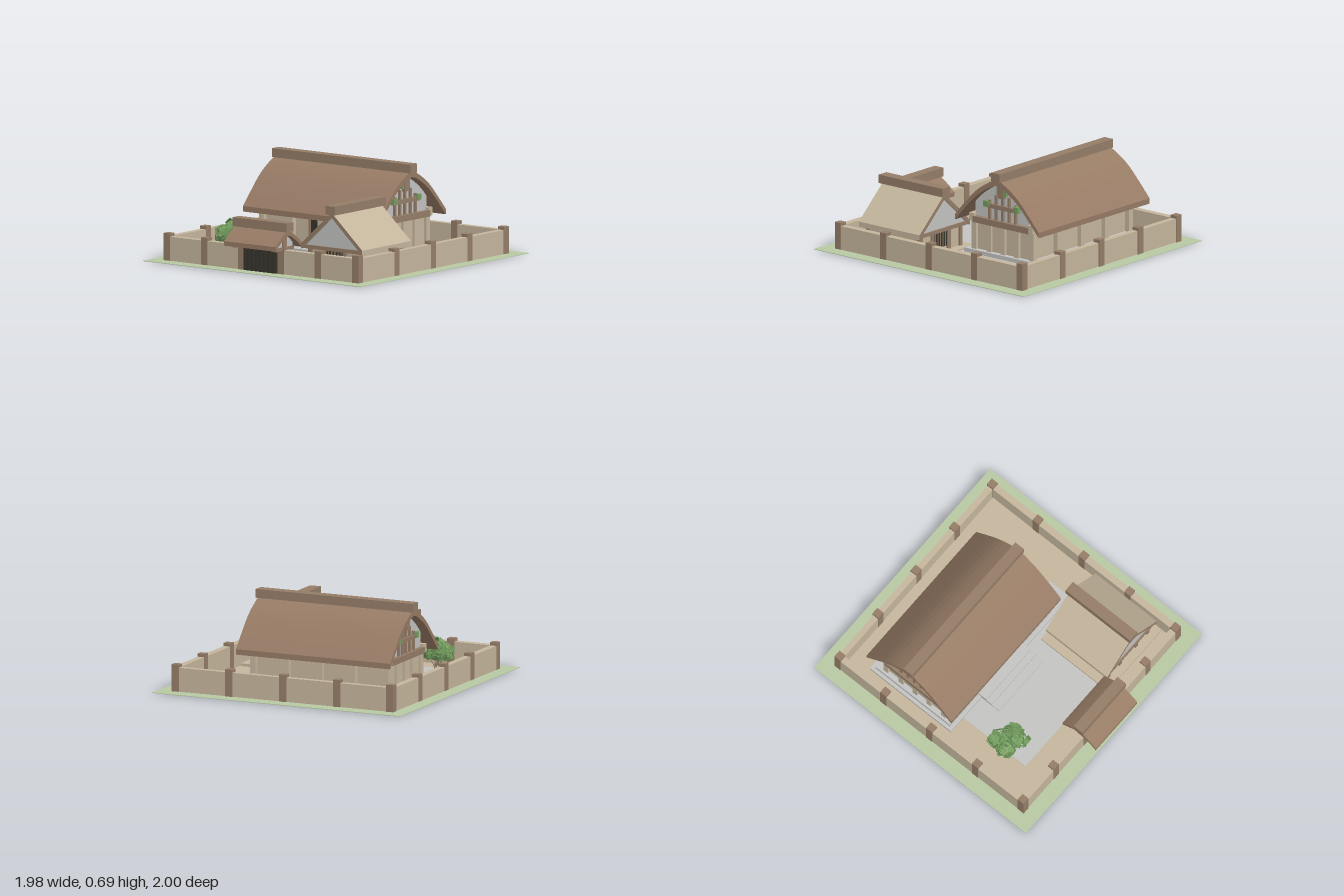
import * as THREE from 'three';
import { mergeGeometries } from 'three/addons/utils/BufferGeometryUtils.js';

const mat = (name, color, side = THREE.FrontSide) => {
  const m = new THREE.MeshStandardMaterial({ color, side });
  m.name = name;
  return m;
};

export function createModel() {
  const root = new THREE.Group();
  root.name = 'walledCourtyard';
  const grass = mat('grass', 0xb8c9a3);
  const plaster = mat('plaster', 0xc5b69d);
  const timber = mat('timber', 0x957d68);
  const thatch = mat('thatch', 0x977b65);
  const stone = mat('stone', 0xc3c3c2);
  const dark = mat('darkWood', 0x35342b);
  const leaf = mat('leaf', 0x759f60, THREE.DoubleSide);
  const bark = mat('bark', 0xb59f86);

  const group = (name, parent = root) => {
    const g = new THREE.Group();
    g.name = name;
    parent.add(g);
    return g;
  };
  const add = (parent, name, geo, material) => {
    const m = new THREE.Mesh(geo, material);
    m.name = name;
    parent.add(m);
    return m;
  };
  // box given by its limits on each axis
  const box = (parent, name, material, x0, x1, y0, y1, z0, z1) => {
    const m = add(parent, name, new THREE.BoxGeometry(x1 - x0, y1 - y0, z1 - z0), material);
    m.position.set((x0 + x1) / 2, (y0 + y1) / 2, (z0 + z1) / 2);
    return m;
  };
  // square post standing at x, z
  const post = (parent, name, material, x, z, w, y0, y1) =>
    box(parent, name, material, x - w / 2, x + w / 2, y0, y1, z - w / 2, z + w / 2);
  // symmetric outline pushed along z, centred
  const prism = (pts, length) => {
    const geo = new THREE.ExtrudeGeometry(new THREE.Shape(pts), { depth: length, bevelEnabled: false });
    return geo.translate(0, 0, -length / 2);
  };
  const mirrored = (half) => [
    ...half.map(([x, y]) => new THREE.Vector2(x, y)).reverse(),
    ...half.slice(1).map(([x, y]) => new THREE.Vector2(-x, y)),
  ];
  // roof shell from a half profile listed from ridge to eave
  const roofGeo = (half, thick, length, samples) => {
    const curve = new THREE.SplineCurve(mirrored(half));
    const top = samples ? curve.getPoints(samples) : mirrored(half);
    const under = top.map((p) => new THREE.Vector2(p.x, p.y - thick)).reverse();
    return prism([...top, ...under], length);
  };
  const gableGeo = (half) => prism(mirrored(half), 0.02);

  // ground and paving
  const ground = group('ground');
  box(ground, 'grassBorder', grass, -0.988, 0.988, 0.001, 0.005, -1, 0.975);
  box(ground, 'yard', plaster, -0.87, 0.87, 0, 0.01, -0.88, 0.855);
  box(ground, 'paving', stone, -0.6, 0.6, 0.008, 0.014, -0.12, 0.65);

  // enclosing wall with posts
  const wall = group('enclosure');
  box(wall, 'backWall', plaster, -0.88, 0.88, 0, 0.18, -0.89, -0.845);
  for (const s of [-1, 1]) {
    const a = s * 0.83, b = s * 0.88;
    box(wall, 'sideWall', plaster, Math.min(a, b), Math.max(a, b), 0, 0.18, -0.89, 0.865);
    box(wall, 'frontWall', plaster, s < 0 ? -0.88 : 0.15, s < 0 ? -0.15 : 0.88, 0, 0.18, 0.815, 0.865);
    for (let i = 0; i < 5; i++) post(wall, 'wallPost', timber, s * 0.855, -0.87 + i * 0.4275, 0.056, 0, 0.203);
    post(wall, 'wallPost', timber, s * 0.515, 0.84, 0.056, 0, 0.203);
    post(wall, 'wallPost', timber, s * 0.43, -0.87, 0.056, 0, 0.203);
    post(wall, 'gatePost', timber, s * 0.18, 0.84, 0.058, 0, 0.2);
  }
  post(wall, 'wallPost', timber, 0, -0.87, 0.056, 0, 0.203);

  // gate with its own small roof
  const gate = group('gate');
  box(gate, 'gateDoor', dark, -0.15, 0.145, 0.006, 0.17, 0.85, 0.88);
  for (let i = 0; i < 8; i++) box(gate, 'gateBar', dark, -0.14 + i * 0.037, -0.128 + i * 0.037, 0.01, 0.17, 0.88, 0.886);
  box(gate, 'lintel', timber, -0.21, 0.21, 0.17, 0.2, 0.82, 0.87);
  const gateRoof = add(gate, 'gateRoof', roofGeo([[0, 0.32], [0.08, 0.28], [0.155, 0.222]], 0.033, 0.465, 8), thatch);
  gateRoof.rotation.y = Math.PI / 2;
  gateRoof.position.z = 0.845;
  box(gate, 'gateRidge', timber, -0.245, 0.245, 0.315, 0.38, 0.805, 0.885);
  for (const s of [-1, 1]) {
    const g = add(gate, 'gateGable', gableGeo([[0, 0.295], [0.07, 0.255], [0.1, 0.225], [0.1, 0.19]]), stone);
    g.rotation.y = Math.PI / 2;
    g.position.set(s * 0.18, 0, 0.845);
    box(gate, 'gateTie', timber, s * 0.18 - 0.02, s * 0.18 + 0.02, 0.175, 0.2, 0.74, 0.95);
    box(gate, 'gateKingPost', timber, s * 0.185 - 0.016, s * 0.185 + 0.016, 0.2, 0.295, 0.825, 0.865);
  }

  // main hall, built around its own centre
  const hall = group('mainHall');
  hall.position.set(-0.148, 0, -0.303);
  box(hall, 'lowerPlatform', stone, -0.595, 0.595, 0, 0.035, -0.38, 0.375);
  box(hall, 'upperPlatform', stone, -0.57, 0.57, 0.03, 0.065, -0.35, 0.345);
  [[0.42, 0.055], [0.47, 0.04], [0.538, 0.025]].forEach(([z, y]) =>
    box(hall, 'step', stone, -0.25, 0.25, 0, y, 0.34, z));
  box(hall, 'hallWalls', plaster, -0.53, 0.53, 0.06, 0.32, -0.255, 0.255);
  for (const s of [-1, 1]) {
    for (let i = -2; i <= 2; i++) post(hall, 'column', plaster, i * 0.265, s * 0.27, 0.042, 0.06, 0.28);
    box(hall, 'eaveBeam', plaster, -0.57, 0.57, 0.275, 0.335, s * 0.275 - 0.022, s * 0.275 + 0.022);
  }
  for (const z of [-0.13, 0, 0.13]) for (const s of [-1, 1]) post(hall, 'gableColumn', plaster, s * 0.53, z, 0.04, 0.06, 0.28);
  for (const s of [-1, 1]) {
    box(hall, 'doorLeaf', dark, s < 0 ? -0.1 : 0.012, s < 0 ? -0.012 : 0.1, 0.065, 0.25, 0.25, 0.262);
    box(hall, 'doorJamb', timber, s * 0.11 - 0.01, s * 0.11 + 0.01, 0.065, 0.26, 0.25, 0.266);
  }
  box(hall, 'doorHead', timber, -0.12, 0.12, 0.25, 0.27, 0.25, 0.266);
  const hallProfile = [[0, 0.632], [0.1, 0.59], [0.2, 0.52], [0.3, 0.418], [0.395, 0.313]];
  const hallRoof = add(hall, 'hallRoof', roofGeo(hallProfile, 0.04, 1.228, 20), thatch);
  hallRoof.rotation.y = Math.PI / 2;
  box(hall, 'hallRidge', timber, -0.628, 0.628, 0.624, 0.688, -0.04, 0.04);

  // timber-framed gables at both ends, each facing outward along its own z
  for (const s of [-1, 1]) {
    const g = group('hallGable', hall);
    g.rotation.y = s * Math.PI / 2;
    g.position.x = s * 0.53;
    add(g, 'gablePanel', gableGeo([[0, 0.6], [0.1, 0.555], [0.2, 0.485], [0.262, 0.42], [0.262, 0.3]]), stone);
    box(g, 'tieBeam', timber, -0.263, 0.263, 0.27, 0.315, -0.02, 0.045);
    box(g, 'crossRail', timber, -0.155, 0.155, 0.4, 0.43, 0, 0.035);
    for (let i = -2; i <= 2; i++) {
      const h = Math.abs(i) === 2 ? 0.455 : 0.5;
      box(g, 'stud', timber, i * 0.061 - 0.009, i * 0.061 + 0.009, 0.31, h, 0, 0.028);
    }
    box(g, 'kingPost', timber, -0.026, 0.026, 0.485, 0.6, 0, 0.04);
    for (const k of [-1, 1]) {
      box(g, 'greenBlock', leaf, k * 0.14 - 0.022, k * 0.14 + 0.022, 0.405, 0.448, 0, 0.045);
      box(g, 'greenBracket', leaf, k * 0.035 - 0.01, k * 0.035 + 0.01, 0.505, 0.572, 0, 0.032);
    }
  }

  // side house with its ridge running front to back
  const house = group('sideHouse');
  house.position.set(0.52, 0, 0.427);
  box(house, 'housePlinth', plaster, -0.304, 0.304, 0, 0.03, -0.313, 0.31);
  box(house, 'houseWalls', plaster, -0.23, 0.23, 0.03, 0.215, -0.24, 0.235);
  add(house, 'houseRoof', roofGeo([[0, 0.465], [0.278, 0.215]], 0.037, 0.572, 0), [timber, plaster]);
  box(house, 'houseRidge', timber, -0.042, 0.042, 0.45, 0.513, -0.3, 0.3);
  for (const s of [-1, 1]) {
    const gable = add(house, 'houseGable', gableGeo([[0, 0.432], [0.25, 0.207], [0.25, 0.19]]), stone);
    gable.position.z = s * 0.258;
    box(house, 'houseTie', timber, -0.262, 0.262, 0.183, 0.21, s * 0.257 - 0.022, s * 0.257 + 0.022);
    for (const x of [-0.22, -0.09, 0.09, 0.22]) post(house, 'housePost', timber, x, s * 0.24, 0.03, 0.03, 0.19);
    box(house, 'grilleBack', dark, -0.075, 0.075, 0.06, 0.18, s * 0.24 - 0.005, s * 0.24 + 0.005);
    for (let i = -2; i <= 2; i++) post(house, 'grilleBar', timber, i * 0.028, s * 0.246, 0.007, 0.06, 0.18);
  }

  // tree: forked trunk and a crown of scattered leaf plates
  const tree = group('tree');
  tree.position.set(-0.57, 0, 0.46);
  const limb = (...p) => new THREE.TubeGeometry(
    new THREE.CatmullRomCurve3(p.map((q) => new THREE.Vector3(...q))), 6, 0.01, 6);
  add(tree, 'trunk', mergeGeometries([
    limb([0, 0, 0], [0.005, 0.06, 0], [0, 0.16, 0]),
    limb([0.004, 0.06, 0], [0.04, 0.11, 0.02], [0.07, 0.17, 0.04]),
    limb([0.004, 0.07, 0], [-0.03, 0.12, -0.02], [-0.06, 0.18, -0.04]),
  ]), bark);
  let seed = 7;
  const rand = () => (seed = (seed * 16807) % 2147483647) / 2147483647;
  const clumps = [[0, 0.215, 0, 0.075], [-0.05, 0.195, -0.06, 0.065], [0.055, 0.185, 0.055, 0.068], [-0.06, 0.175, 0.03, 0.06], [0.06, 0.185, -0.01, 0.06]];
  const plates = [];
  for (const [cx, cy, cz, r] of clumps) {
    for (let i = 0; i < 34; i++) {
      const dir = new THREE.Vector3(rand() - 0.5, rand() - 0.5, rand() - 0.5).normalize();
      const tilt = new THREE.Vector3(rand() - 0.5, rand() - 0.5, rand() - 0.5);
      const holder = new THREE.Object3D();
      holder.lookAt(dir.clone().addScaledVector(tilt, 0.9));
      holder.rotateZ(rand() * 6.28);
      holder.position.set(cx, cy, cz).addScaledVector(dir, r * (0.8 + rand() * 0.3));
      holder.updateMatrix();
      plates.push(new THREE.BoxGeometry(0.05, 0.035, 0.004).applyMatrix4(holder.matrix));
    }
  }
  add(tree, 'foliage', mergeGeometries(plates), leaf);
  return root;
}
